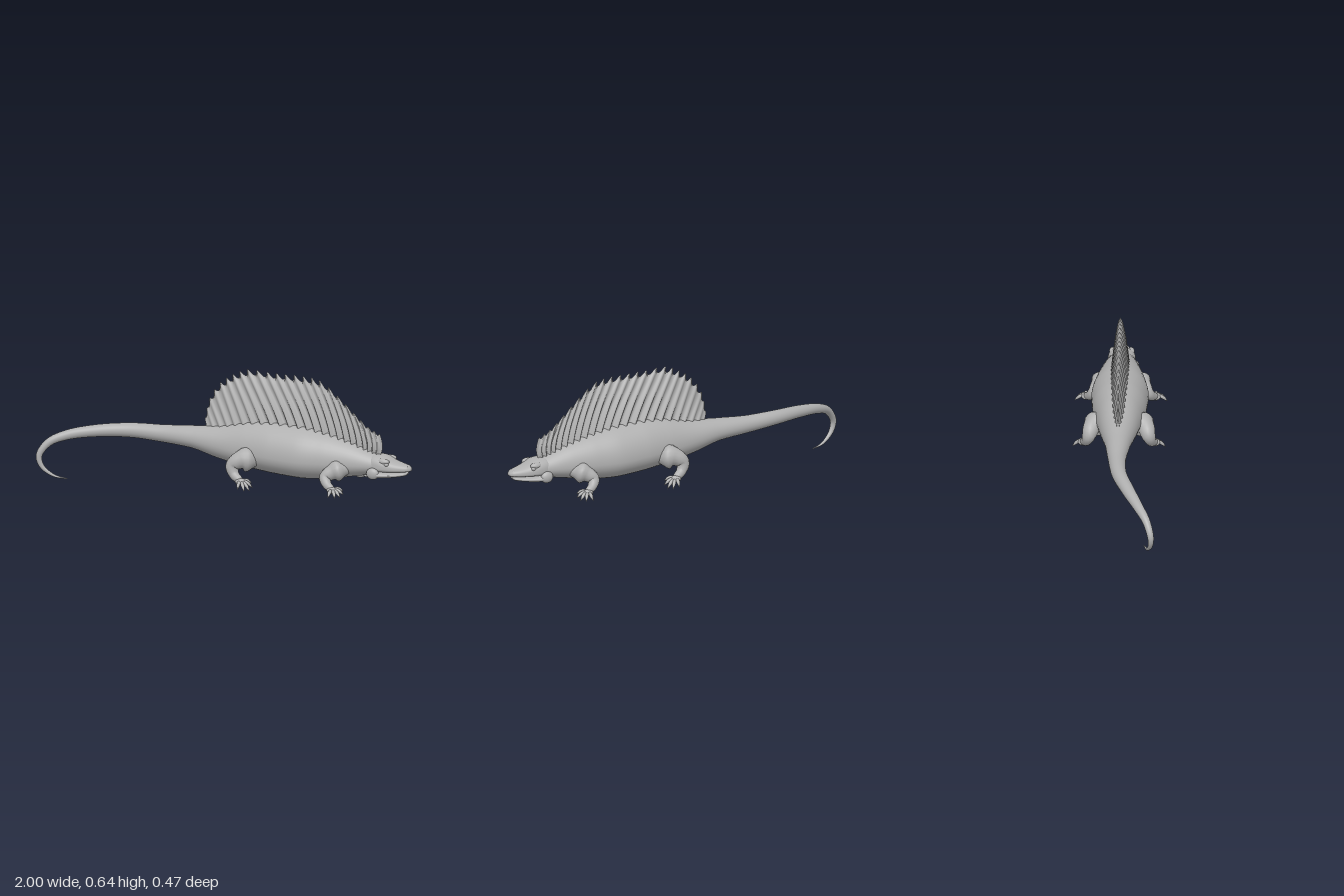
import * as THREE from 'three';

const hide = new THREE.MeshStandardMaterial({ color: 0xb0b0b0 });
hide.name = 'grey hide';

// Smooth surface from a grid of points; wrap joins the last column to the first.
function grid(rows, cols, wrap, fn) {
  const pos = [], idx = [];
  const n = wrap ? cols : cols + 1;
  for (let i = 0; i <= rows; i++)
    for (let j = 0; j < n; j++) pos.push(...fn(i / rows, j / cols));
  for (let i = 0; i < rows; i++)
    for (let j = 0; j < cols; j++) {
      const k = (j + 1) % n;
      const a = i * n + j, b = (i + 1) * n + j, c = (i + 1) * n + k, d = i * n + k;
      idx.push(a, b, c, a, c, d);
    }
  const g = new THREE.BufferGeometry();
  g.setAttribute('position', new THREE.Float32BufferAttribute(pos, 3));
  g.setIndex(idx);
  g.computeVertexNormals();
  return g;
}

// Loft through stations [x, y, z, up radius, down radius, side radius].
function loft(stations, rows, cols, power = 1) {
  const path = new THREE.CatmullRomCurve3(stations.map(s => new THREE.Vector3(s[0], s[1], s[2])));
  const radii = new THREE.CatmullRomCurve3(stations.map(s =>
    new THREE.Vector3(s[3], s[4] ?? s[3], s[5] ?? s[3])));
  const bend = v => Math.sign(v) * Math.abs(v) ** power;
  return grid(rows, cols, true, (u, w) => {
    const c = path.getPoint(u), r = radii.getPoint(u), t = path.getTangent(u);
    const side = new THREE.Vector3(0, 0, 1).addScaledVector(t, -t.z).normalize();
    const up = new THREE.Vector3().crossVectors(side, t);
    const a = w * Math.PI * 2, s = Math.sin(a);
    c.addScaledVector(side, Math.max(r.z, 0.0004) * bend(Math.cos(a)));
    c.addScaledVector(up, Math.max(s > 0 ? r.x : r.y, 0.0004) * bend(s));
    return c.toArray();
  });
}

function add(group, name, geometry) {
  const m = new THREE.Mesh(geometry, hide);
  m.name = name;
  group.add(m);
  return m;
}

function ball(group, name, p, r) {
  const m = add(group, name, new THREE.SphereGeometry(1, 20, 14));
  m.position.set(...p);
  m.scale.set(...r);
  return m;
}

// Fan of ridged spines joined by thinner skin, with pointed tips.
function sailGeometry() {
  const curve = pts => new THREE.CatmullRomCurve3(pts.map(p => new THREE.Vector3(p[0], p[1], 0)));
  const base = curve([[-0.12, 0.28], [0.05, 0.31], [0.25, 0.35], [0.45, 0.35], [0.62, 0.31],
    [0.75, 0.265], [0.82, 0.25]]);
  const tip = curve([[-0.145, 0.36], [-0.12, 0.47], [-0.06, 0.56], [0.01, 0.61], [0.09, 0.645],
    [0.2, 0.642], [0.3, 0.642], [0.4, 0.642], [0.49, 0.63], [0.59, 0.56], [0.68, 0.48],
    [0.76, 0.415], [0.825, 0.385]]);
  const spines = 24;
  return grid(spines * 8, 28, false, (u, w) => {
    const s = w * 2 - 1, v = 1 - Math.abs(s);
    const rib = Math.abs(Math.cos(Math.PI * u * spines)) ** 3;
    const p = base.getPoint(u), q = tip.getPoint(u);
    p.lerp(q, v * (1 - 0.1 * (1 - rib)));
    p.x += 0.02 * u * Math.sin(Math.PI * v);
    const ends = 0.2 + 0.8 * Math.sin(Math.PI * u) ** 0.6;
    const half = 0.048 * ends * (1 - v) ** 0.6 * (0.45 + 0.55 * rib);
    return [p.x, p.y, -Math.sign(s) * half];
  });
}

// One limb with its foot and clawed toes; m is the side, +1 or -1 in z.
function limb(parent, name, m, path, foot, tips) {
  const g = new THREE.Group();
  g.name = name;
  add(g, 'leg', loft(path.map(p => [p[0], p[1], p[2] * m, p[3]]), 28, 16));
  ball(g, 'foot', [foot[0], foot[1], foot[2] * m], [0.028, 0.017, 0.025]);
  for (const t of tips) {
    const at = (k, lift, r) => [
      foot[0] + (t[0] - foot[0]) * k,
      foot[1] + (t[1] - foot[1]) * k + lift,
      (foot[2] + (t[2] - foot[2]) * k) * m, r];
    add(g, 'toe', loft([at(0, 0, 0.009), at(0.4, 0.012, 0.0095), at(0.65, 0.011, 0.009),
      at(0.82, 0.006, 0.006), at(1, 0, 0)], 14, 8));
  }
  parent.add(g);
}

export function createModel() {
  const model = new THREE.Group();
  model.name = 'sailBackedReptile';

  // Body and curling tail in one skin, from tail tip to neck
  add(model, 'bodyAndTail', loft([
    [-0.84, 0.004, 0.145, 0.002], [-0.91, 0.019, 0.163, 0.007], [-0.967, 0.065, 0.18, 0.012],
    [-0.982, 0.12, 0.182, 0.016], [-0.94, 0.187, 0.16, 0.02], [-0.86, 0.225, 0.12, 0.025],
    [-0.72, 0.25, 0.065, 0.031, 0.031, 0.033], [-0.55, 0.26, 0.015, 0.037, 0.037, 0.038],
    [-0.38, 0.258, 0, 0.044, 0.044, 0.045], [-0.2, 0.255, 0, 0.062, 0.054, 0.064],
    [-0.05, 0.245, 0, 0.092, 0.08, 0.09], [0.1, 0.235, 0, 0.138, 0.095, 0.115],
    [0.25, 0.23, 0, 0.158, 0.107, 0.137], [0.4, 0.225, 0, 0.16, 0.11, 0.145],
    [0.55, 0.225, 0, 0.14, 0.1, 0.125], [0.68, 0.225, 0, 0.106, 0.074, 0.098],
    [0.78, 0.225, 0, 0.068, 0.054, 0.075], [0.86, 0.222, 0, 0.038, 0.03, 0.05],
    [0.88, 0.222, 0, 0]
  ], 150, 40));

  add(model, 'sail', sailGeometry());

  // Head
  const head = new THREE.Group();
  head.name = 'head';
  add(head, 'skull', loft([
    [0.75, 0.225, 0, 0.02], [0.8, 0.225, 0, 0.057, 0.035, 0.066], [0.85, 0.22, 0, 0.058, 0.026, 0.07],
    [0.9, 0.216, 0, 0.041, 0.019, 0.058], [0.95, 0.216, 0, 0.028, 0.014, 0.043],
    [0.985, 0.216, 0, 0.019, 0.011, 0.027], [0.998, 0.216, 0, 0.008, 0.006, 0.012],
    [1, 0.216, 0, 0]
  ], 50, 32, 0.8));
  add(head, 'lowerJaw', loft([
    [0.76, 0.19, 0, 0.01], [0.79, 0.188, 0, 0.026, 0.022, 0.07], [0.83, 0.186, 0, 0.025, 0.021, 0.084],
    [0.88, 0.186, 0, 0.012, 0.018, 0.069], [0.93, 0.188, 0, 0.01, 0.013, 0.048],
    [0.97, 0.193, 0, 0.008, 0.009, 0.029], [0.985, 0.196, 0, 0]
  ], 44, 32, 0.85));
  for (const m of [1, -1]) {
    ball(head, 'brow', [0.865, 0.255, 0.046 * m], [0.032, 0.016, 0.018]);
    ball(head, 'eye', [0.882, 0.243, 0.053 * m], [0.013, 0.012, 0.01]);
    ball(head, 'cheek', [0.815, 0.192, 0.07 * m], [0.034, 0.03, 0.02]);
    ball(head, 'nostril', [0.975, 0.231, 0.014 * m], [0.012, 0.006, 0.008]);
  }
  model.add(head);

  // Legs
  for (const m of [1, -1]) {
    const label = m > 0 ? 'Right' : 'Left';
    limb(model, 'hindLeg' + label, m,
      [[0.18, 0.2, 0.06, 0.03], [0.155, 0.203, 0.1, 0.045], [0.11, 0.203, 0.135, 0.045],
        [0.075, 0.172, 0.15, 0.036], [0.09, 0.132, 0.163, 0.026], [0.125, 0.112, 0.178, 0.02],
        [0.14, 0.106, 0.185, 0.004]],
      [0.133, 0.105, 0.183],
      [[0.14, 0.075, 0.236], [0.175, 0.066, 0.23], [0.196, 0.066, 0.208], [0.2, 0.078, 0.18],
        [0.182, 0.092, 0.15]]);
    limb(model, 'foreLeg' + label, m,
      [[0.68, 0.205, 0.05, 0.025], [0.65, 0.2, 0.085, 0.038], [0.61, 0.188, 0.115, 0.038],
        [0.582, 0.164, 0.135, 0.031], [0.6, 0.134, 0.155, 0.024], [0.632, 0.118, 0.172, 0.018],
        [0.645, 0.112, 0.18, 0.004]],
      [0.638, 0.112, 0.176],
      [[0.64, 0.085, 0.236], [0.675, 0.083, 0.225], [0.695, 0.085, 0.203], [0.703, 0.095, 0.178],
        [0.688, 0.105, 0.148]]);
  }
  return model;
}
